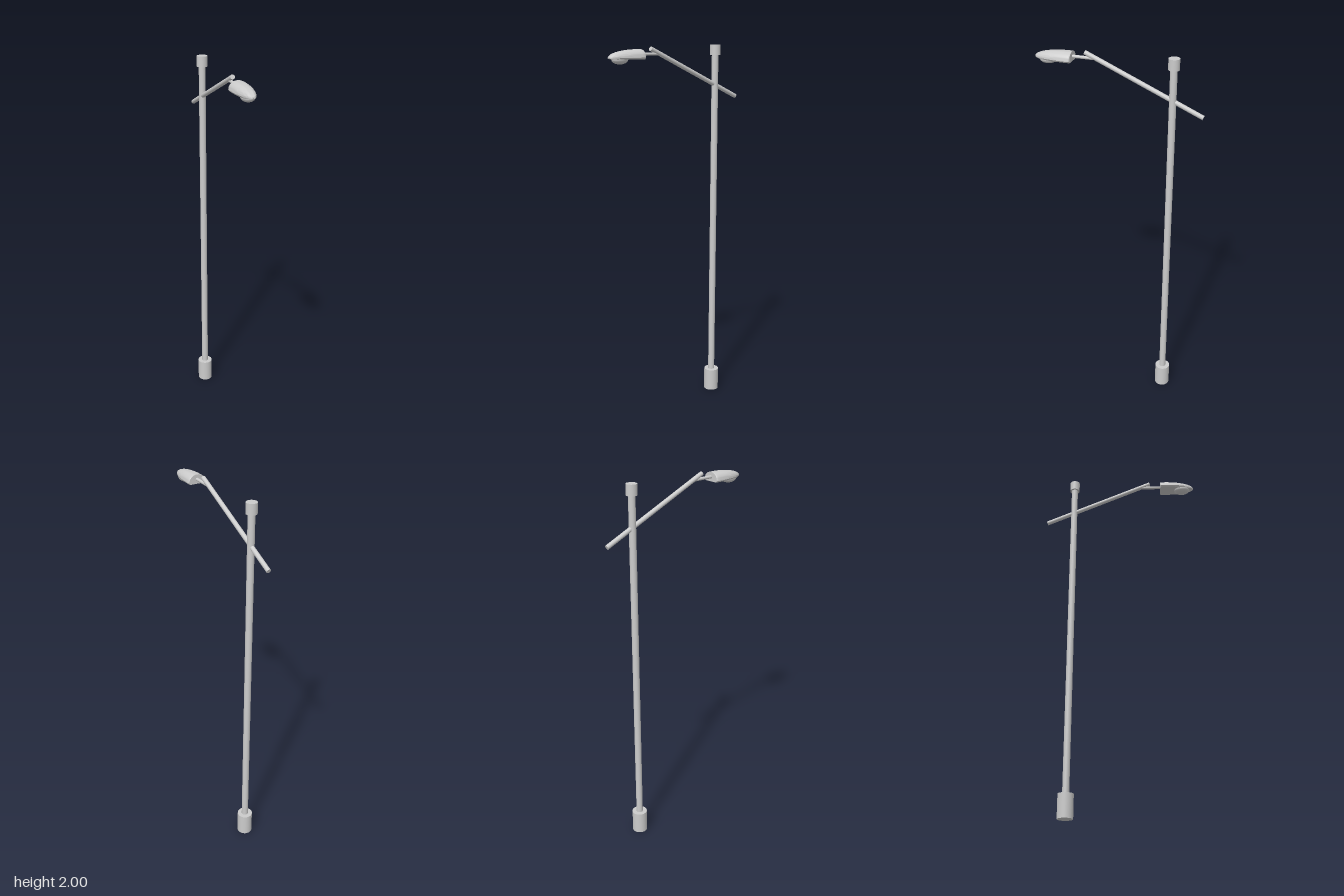
import * as THREE from 'three';
import { toCreasedNormals } from 'three/addons/utils/BufferGeometryUtils.js';

const grey = new THREE.MeshStandardMaterial({ color: 0xcccccc });
const POLE_Z = -0.273;

// Closed round bar between two points
function bar(name, a, b, radius) {
  const from = new THREE.Vector3(...a), dir = new THREE.Vector3(...b).sub(from);
  const mesh = new THREE.Mesh(new THREE.CylinderGeometry(radius, radius, dir.length(), 32), grey);
  mesh.name = name;
  mesh.position.copy(from).addScaledVector(dir, 0.5);
  mesh.quaternion.setFromUnitVectors(new THREE.Vector3(0, 1, 0), dir.normalize());
  return mesh;
}

// Lamp shell lofted along z: domed top, flat underside, rounded nose
function lampShell() {
  const back = 0.237, nose = 0.433, seam = 1.943, bottom = 1.935, arc = 20;
  const sections = [[back, 0.9], [back + 0.002, 0.96], [back + 0.007, 1]];
  for (let i = 0; i <= 20; i++) {
    const t = Math.sin((i / 20.5) * Math.PI / 2);
    sections.push([0.26 + t * (nose - 0.26), Math.sqrt(1 - t * t)]);
  }
  const pos = [], index = [], ring = arc + 3;
  for (const [z, s] of sections) {
    const w = 0.0485 * s, h = 0.04 * (z < 0.26 ? 1 : s);
    for (let i = 0; i <= arc; i++) {
      const a = (i / arc) * Math.PI;
      pos.push(w * Math.cos(a), seam + h * Math.sin(a) ** 0.9, z);
    }
    const low = seam - (seam - bottom) * Math.min(1, s * 1.5);
    pos.push(-w * 0.86, low, z, w * 0.86, low, z);
  }
  for (let s = 0; s < sections.length - 1; s++) {
    for (let i = 0; i < ring; i++) {
      const j = (i + 1) % ring, a = s * ring + i, b = s * ring + j;
      index.push(a, b, b + ring, a, b + ring, a + ring);
    }
  }
  // End caps
  const centre = pos.length / 3, last = (sections.length - 1) * ring;
  pos.push(0, 1.955, back, 0, seam, nose);
  for (let i = 0; i < ring; i++) {
    const j = (i + 1) % ring;
    index.push(centre, j, i, centre + 1, last + i, last + j);
  }
  const geo = new THREE.BufferGeometry();
  geo.setAttribute('position', new THREE.Float32BufferAttribute(pos, 3));
  geo.setIndex(index);
  const mesh = new THREE.Mesh(toCreasedNormals(geo, 0.6), grey);
  mesh.name = 'lampShell';
  return mesh;
}

// Shallow glass bowl under the lamp
function lampBowl() {
  const geo = new THREE.SphereGeometry(1, 32, 12, 0, Math.PI * 2, Math.PI / 2, Math.PI / 2);
  geo.scale(0.034, 0.024, 0.045);
  const mesh = new THREE.Mesh(geo, grey);
  mesh.name = 'lampBowl';
  mesh.position.set(0, 1.936, 0.365);
  return mesh;
}

export function createModel() {
  const model = new THREE.Group();
  model.name = 'streetLamp';
  // Upright post
  model.add(
    bar('base', [0, 0, POLE_Z], [0, 0.125, POLE_Z], 0.041),
    bar('pole', [0, 0.1, POLE_Z], [0, 1.97, POLE_Z], 0.018),
    bar('poleCap', [0, 1.945, POLE_Z], [0, 2, POLE_Z], 0.028),
  );
  // Slanted arm through the pole, and the stem holding the lamp
  model.add(
    bar('arm', [0, 1.721, -0.428], [0, 1.984, 0.173], 0.0118),
    bar('lampStem', [0, 1.958, 0.12], [0, 1.958, 0.25], 0.008),
  );
  // Lamp head
  const head = new THREE.Group();
  head.name = 'lampHead';
  head.add(lampShell(), lampBowl());
  model.add(head);
  return model;
}
